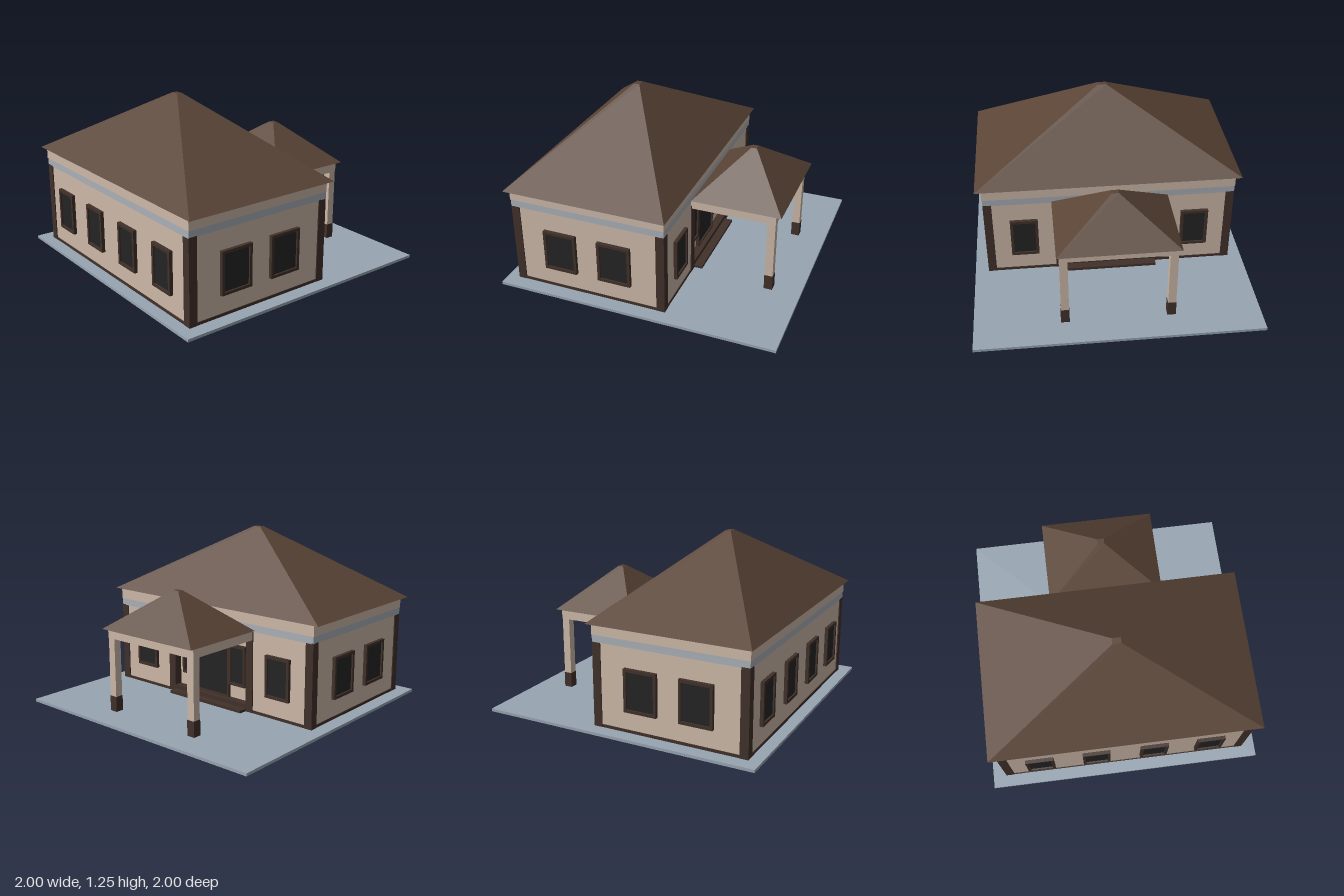
import * as THREE from 'three';

const mat = (color) => new THREE.MeshStandardMaterial({ color, flatShading: true });
const M = {
  ground: mat(0x97a5b2), wall: mat(0xcdb9a8), band: mat(0xaab0b8),
  trim: mat(0x41312a), roof: mat(0x5a4436), glass: mat(0x242424),
};

export function createModel() {
  const house = new THREE.Group();
  house.name = 'house';

  const add = (name, geo, material, parent = house) => {
    const mesh = new THREE.Mesh(geo, material);
    mesh.name = name;
    parent.add(mesh);
    return mesh;
  };

  // Box given by its limits on each axis
  const box = (name, material, [x0, x1], [y0, y1], [z0, z1], parent) => {
    const mesh = add(name, new THREE.BoxGeometry(x1 - x0, y1 - y0, z1 - z0), material, parent);
    mesh.position.set((x0 + x1) / 2, (y0 + y1) / 2, (z0 + z1) / 2);
    return mesh;
  };

  // Hipped roof: a box whose top corners are pulled in to a small flat cap
  const hipRoof = (name, cx, y0, y1, width, depth, capWidth, capDepth) => {
    const geo = new THREE.BoxGeometry(width, y1 - y0, depth);
    const p = geo.attributes.position;
    for (let i = 0; i < p.count; i++) {
      if (p.getY(i) > 0) {
        p.setX(i, Math.sign(p.getX(i)) * capWidth / 2);
        p.setZ(i, Math.sign(p.getZ(i)) * capDepth / 2);
      }
    }
    geo.computeVertexNormals();
    add(name, geo, M.roof).position.set(cx, (y0 + y1) / 2, 0);
  };

  // Frame with a set-back pane, facing +z before it is turned
  const framed = (name, w, h, x, y, z, turn, border = 0.02) => {
    const group = new THREE.Group();
    group.name = name;
    const rect = (S, a, b) => new S([[-a, -b], [a, -b], [a, b], [-a, b]].map((q) => new THREE.Vector2(...q)));
    const shape = rect(THREE.Shape, w / 2, h / 2);
    shape.holes.push(rect(THREE.Path, w / 2 - border, h / 2 - border));
    add('frame', new THREE.ExtrudeGeometry(shape, { depth: 0.03, bevelEnabled: false }), M.trim, group);
    box('pane', M.glass, [-w / 2 + border, w / 2 - border], [-h / 2 + border, h / 2 - border], [0, 0.018], group);
    group.position.set(x, y, z);
    group.rotation.y = turn;
    house.add(group);
  };

  // Ground slab
  box('ground', M.ground, [-1, 1], [0, 0.02], [-1, 1]);

  // Lower walls: floor plan with a shallow entrance recess on the +x side
  const recessX = 0.14;
  const plan = new THREE.Shape([
    [-0.91, -0.895], [0.195, -0.895], [0.195, -0.35], [recessX, -0.35],
    [recessX, 0.35], [0.195, 0.35], [0.195, 0.895], [-0.91, 0.895],
  ].map((q) => new THREE.Vector2(...q)));
  const walls = add('walls', new THREE.ExtrudeGeometry(plan, { depth: 0.595, bevelEnabled: false }), M.wall);
  walls.rotation.x = -Math.PI / 2;
  walls.position.y = 0.02;

  // Band and upper wall
  box('band', M.band, [-0.917, 0.202], [0.61, 0.66], [-0.902, 0.902]);
  box('upperWall', M.wall, [-0.92, 0.203], [0.66, 0.74], [-0.905, 0.905]);
  hipRoof('mainRoof', -0.36, 0.74, 1.245, 1.17, 1.9, 0.04, 0.06);

  // Plinth around the walls, and the entrance steps
  box('plinth', M.trim, [-0.915, 0.2], [0.02, 0.04], [-0.9, 0.9]);
  box('upperStep', M.trim, [recessX - 0.02, 0.2], [0.04, 0.07], [-0.34, 0.34]);
  box('lowerStep', M.trim, [0.18, 0.26], [0.02, 0.04], [-0.34, 0.34]);

  for (const s of [-1, 1]) {
    const span = (a, b) => (s > 0 ? [a, b] : [-b, -a]);
    // Corner posts and entrance posts
    box('cornerPost', M.trim, [-0.917, -0.857], [0.02, 0.615], span(0.842, 0.902));
    box('cornerPost', M.trim, [0.142, 0.202], [0.02, 0.615], span(0.842, 0.902));
    box('entrancePost', M.trim, [0.139, 0.202], [0.02, 0.615], span(0.34, 0.4));

    // Front and back windows
    for (const x of [-0.56, -0.16]) {
      framed('endWindow', 0.24, 0.3, x, 0.32, s * 0.89, s > 0 ? 0 : Math.PI);
    }
    // Side windows
    framed('sideWindow', 0.2, 0.3, 0.19, 0.32, s * 0.62, Math.PI / 2);
    for (const z of [0.21, 0.62]) framed('sideWindow', 0.2, 0.3, -0.905, 0.32, s * z, -Math.PI / 2);
    // Windows beside the door
    framed('entranceWindow', 0.15, 0.3, recessX - 0.005, 0.32, s * 0.225, Math.PI / 2);

    // Porch posts with dark bases, and side beams
    box('porchPost', M.wall, [0.742, 0.798], [0.13, 0.56], span(0.342, 0.398));
    box('porchPostBase', M.trim, [0.74, 0.8], [0.02, 0.13], span(0.34, 0.4));
    box('porchSideBeam', M.wall, [0.19, 0.8], [0.55, 0.62], span(0.34, 0.4));
  }

  // Door
  framed('door', 0.3, 0.4, recessX - 0.005, 0.27, 0, Math.PI / 2, 0.012);

  // Porch front beam and roof
  box('porchFrontBeam', M.wall, [0.74, 0.8], [0.55, 0.62], [-0.34, 0.34]);
  hipRoof('porchRoof', 0.52, 0.618, 0.897, 0.64, 0.835, 0.04, 0.05);

  return house;
}
